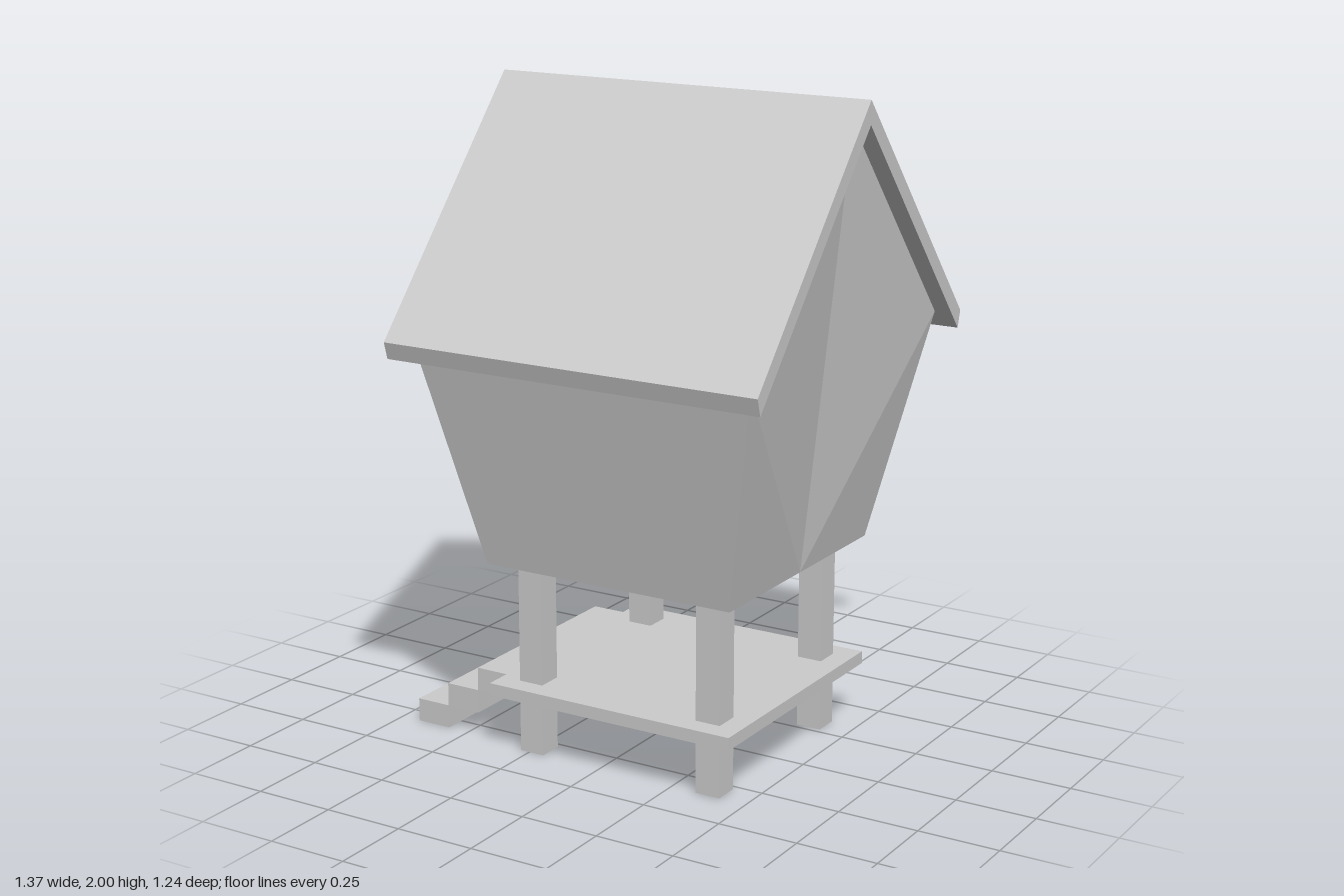
import * as THREE from 'three';

export function createModel() {
  const model = new THREE.Group();
  const grey = new THREE.MeshStandardMaterial({ color: 0xcccccc });
  grey.name = 'lightGrey';

  const add = (name, geometry) => {
    const mesh = new THREE.Mesh(geometry, grey);
    mesh.name = name;
    model.add(mesh);
    return mesh;
  };

  // Box given by its limits on each axis
  const box = (name, x0, x1, y0, y1, z0, z1) =>
    add(name, new THREE.BoxGeometry(x1 - x0, y1 - y0, z1 - z0))
      .position.set((x0 + x1) / 2, (y0 + y1) / 2, (z0 + z1) / 2);

  // Outline extruded along z from 0 to depth
  const extrude = (points, depth) =>
    new THREE.ExtrudeGeometry(
      new THREE.Shape(points.map(([x, y]) => new THREE.Vector2(x, y))),
      { depth, bevelEnabled: false });

  // House body: flared walls, with folded gables that meet the roof slab
  const end = (xBottom, xTop) => ({
    baseFront: [xBottom, 0.6, 0.413], baseMid: [xBottom, 0.6, 0], baseBack: [xBottom, 0.6, -0.413],
    eaveFront: [xTop, 1.292, 0.56], eaveBack: [xTop, 1.292, -0.56], apex: [xTop, 1.93, 0],
  });
  const a = end(-0.345, -0.49);
  const b = end(0.48, 0.625);
  const positions = [];
  const tri = (p, q, r) => positions.push(...p, ...q, ...r);
  const quad = (p, q, r, s) => { tri(p, q, r); tri(p, r, s); };
  const gable = (g, flip) => [
    [g.baseFront, g.baseMid, g.eaveFront], [g.baseMid, g.apex, g.eaveFront],
    [g.baseMid, g.eaveBack, g.apex], [g.baseMid, g.baseBack, g.eaveBack],
  ].forEach(([p, q, r]) => (flip ? tri(p, r, q) : tri(p, q, r)));
  gable(b, false);
  gable(a, true);
  quad(a.baseFront, b.baseFront, b.eaveFront, a.eaveFront);
  quad(b.baseBack, a.baseBack, a.eaveBack, b.eaveBack);
  quad(a.baseFront, a.baseBack, b.baseBack, b.baseFront);
  const bodyGeometry = new THREE.BufferGeometry();
  bodyGeometry.setAttribute('position', new THREE.Float32BufferAttribute(positions, 3));
  bodyGeometry.computeVertexNormals();
  add('houseBody', bodyGeometry);

  // Gabled roof slab, its section turned to run along x
  const roof = add('roof', extrude([
    [0, 2], [-0.622, 1.29], [-0.607, 1.238], [0, 1.93], [0.607, 1.238], [0.622, 1.29],
  ], 1.225));
  roof.rotation.y = Math.PI / 2;
  roof.position.x = -0.545;

  // Tilted door panel leaning with the gable wall
  const door = add('door', extrude([
    [-0.505, 1.215], [-0.403, 0.79], [-0.35, 0.803], [-0.452, 1.228],
  ], 0.43));
  door.position.z = -0.222;

  // Stilts and the platform between them
  for (const x of [-0.28, 0.333]) {
    for (const z of [-0.348, 0.268]) box('stilt', x, x + 0.08, 0, 0.6, z, z + 0.08);
  }
  box('platform', -0.345, 0.48, 0.185, 0.224, -0.413, 0.413);

  // Steps rising to the platform
  for (let i = 0; i < 3; i++) {
    const x = -0.685 + i * 0.113;
    box('step', x, x + 0.113, i * 0.073, (i + 1) * 0.073, -0.345, 0.315);
  }

  return model;
}
